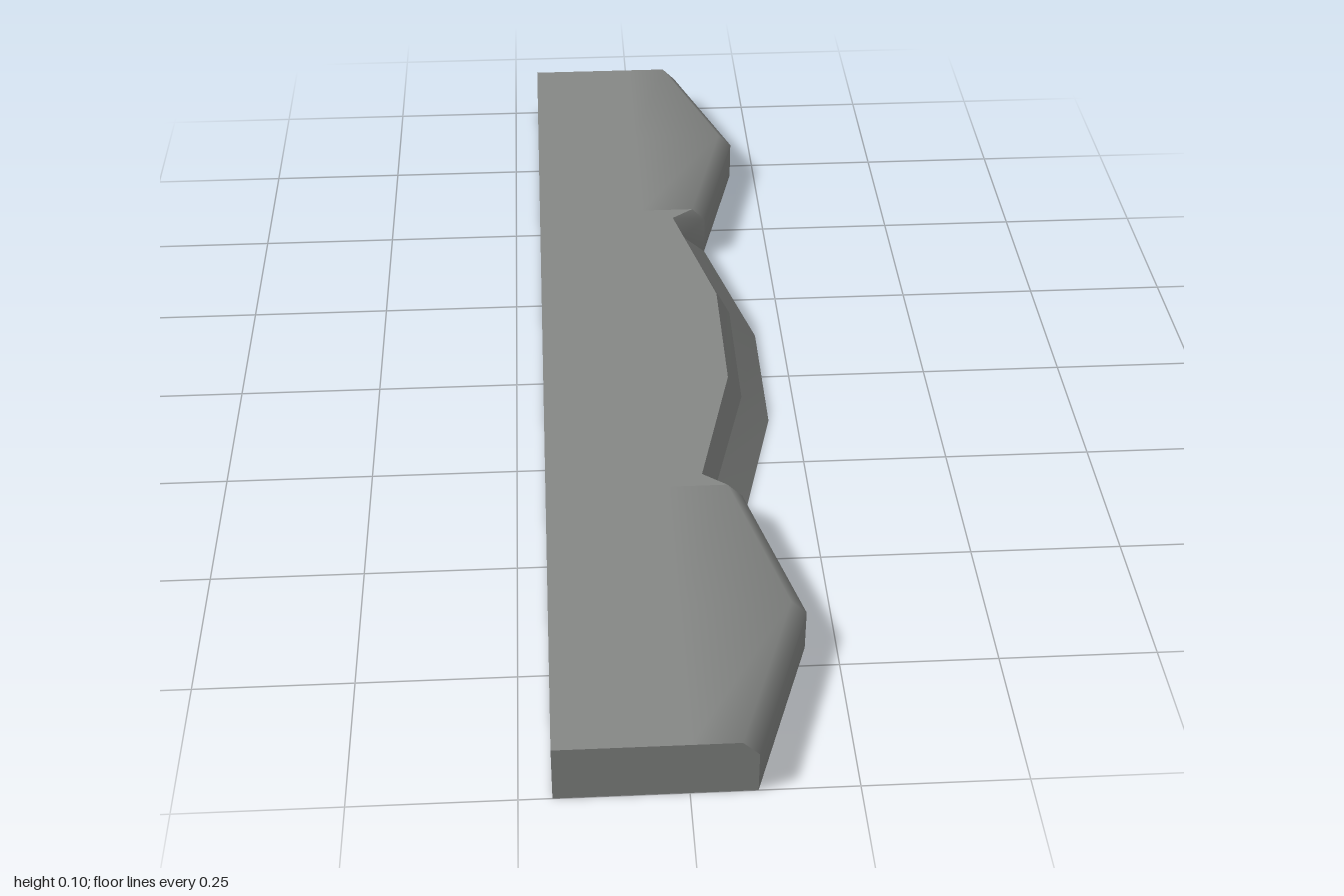
import * as THREE from 'three';
import { toCreasedNormals } from 'three/addons/utils/BufferGeometryUtils.js';

const LEFT = -0.2, TOP = 0.1;

// Cross-sections run clockwise seen from the front: back edge, top, shaped edge.
const section = (z, topX, midX, midY, lowX, lowZ = z) => [
  [LEFT, 0, z], [LEFT, TOP, z], [0, TOP, z], [topX, TOP, z], [midX, midY, z], [lowX, 0, lowZ],
];
const lobe = (z, x) => section(z, x - 0.025, x, 0.075, x);
const mirrorZ = (sections) => sections.map((s) => s.map(([x, y, z]) => [x, y, -z])).reverse();

// Skins the chosen sides between sections ordered from front to back.
function loft(sections, sides = [0, 1, 2, 3, 4, 5], capFront = false, capBack = false) {
  const pos = [];
  const same = (p, q) => p.every((v, k) => Math.abs(v - q[k]) < 1e-6);
  const tri = (a, b, c) => {
    if (!same(a, b) && !same(b, c) && !same(a, c)) pos.push(...a, ...b, ...c);
  };
  for (let s = 0; s < sections.length - 1; s++) {
    const a = sections[s], b = sections[s + 1];
    for (const i of sides) {
      const j = (i + 1) % a.length;
      tri(a[i], a[j], b[j]);
      tri(a[i], b[j], b[i]);
    }
  }
  const first = sections[0], last = sections[sections.length - 1];
  for (let i = 1; i < first.length - 1; i++) {
    if (capFront) tri(first[0], first[i + 1], first[i]);
    if (capBack) tri(last[0], last[i], last[i + 1]);
  }
  const geo = new THREE.BufferGeometry();
  geo.setAttribute('position', new THREE.Float32BufferAttribute(pos, 3));
  return toCreasedNormals(geo, 0.9);
}

export function createModel() {
  const group = new THREE.Group();
  const grey = new THREE.MeshStandardMaterial({ color: 0x868886 });
  grey.name = 'stone grey';
  const add = (name, geo) => {
    const mesh = new THREE.Mesh(geo, grey);
    mesh.name = name;
    group.add(mesh);
  };

  // Chamfered lobes at both ends
  const end = [lobe(1, 0.1), lobe(0.71, 0.2), lobe(0.425, 0.125)];
  add('frontLobe', loft(end, undefined, true, false));
  add('backLobe', loft(mirrorZ(end), undefined, false, true));

  // Slanted walls where the lobes step down into the recess
  const notch = section(0.395, 0.06, 0.08, 0.055, 0.125, 0.425);
  const step = [end[2], notch];
  add('frontStep', loft(step));
  add('backStep', loft(mirrorZ(step)));

  // Recessed middle, with a crease between its upper and lower slopes
  const half = [notch, section(0.13, 0.125, 0.15, 0.055, 0.2)];
  const middle = [...half, ...mirrorZ(half)];
  add('middleSlab', loft(middle, [0, 1, 2, 5]));
  add('middleUpperSlope', loft(middle, [3]));
  add('middleLowerSlope', loft(middle, [4]));

  return group;
}
